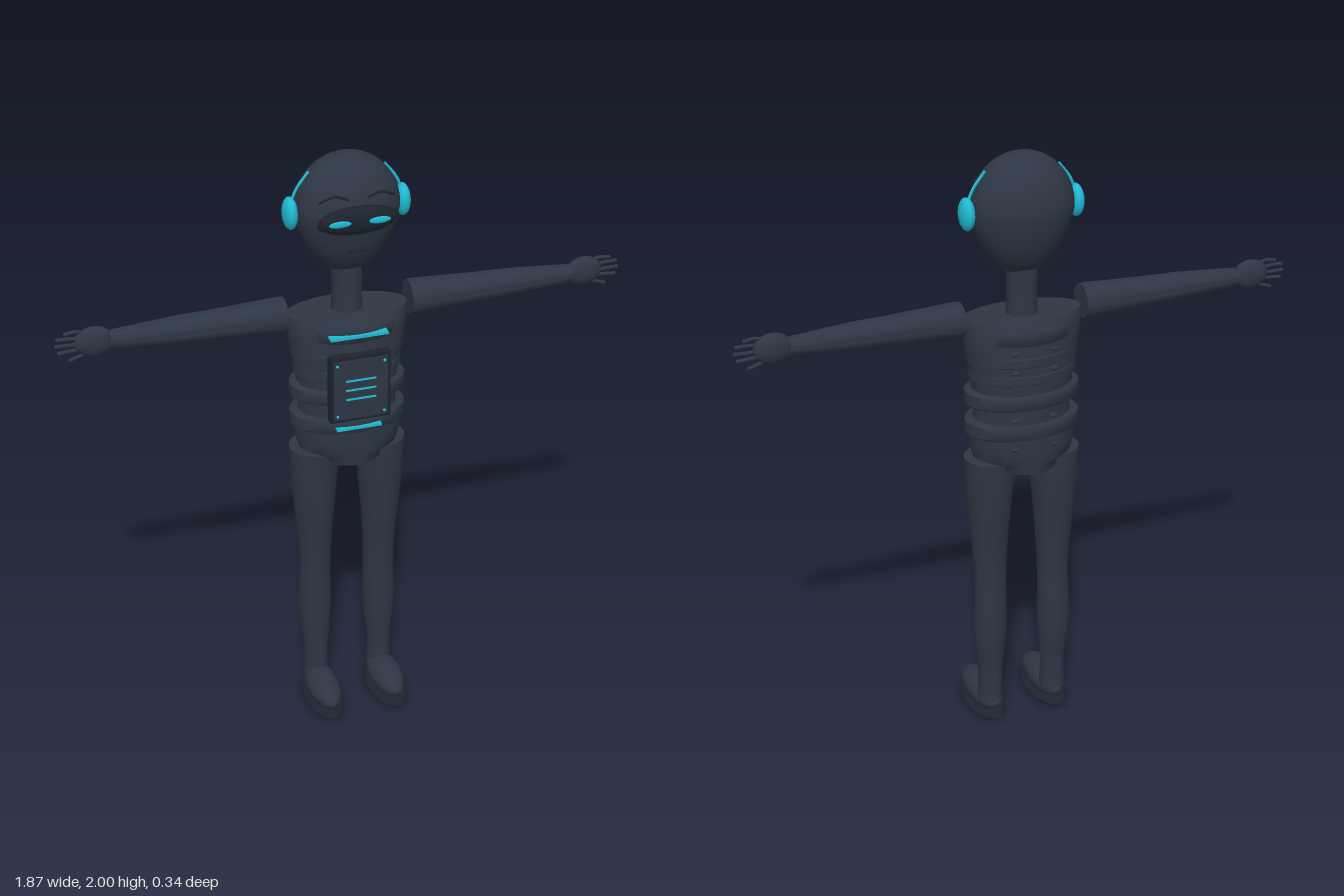
import * as THREE from 'three';
import { toCreasedNormals } from 'three/addons/utils/BufferGeometryUtils.js';

const CZ = -0.045; // depth of the body axis

export function createModel() {
  const model = new THREE.Group();
  model.name = 'robot';
  const material = (name, color) => {
    const m = new THREE.MeshStandardMaterial({ color });
    m.name = name;
    return m;
  };
  const slate = material('slate', 0x2d3643);
  const dark = material('darkSlate', 0x1d232d);
  const cyan = material('cyanGlow', 0x1fb9d3);

  const add = (name, geo, mat, x = 0, y = 0, z = 0, parent = model) => {
    const mesh = new THREE.Mesh(geo, mat);
    mesh.name = name;
    mesh.position.set(x, y, z);
    parent.add(mesh);
    return mesh;
  };
  // Elliptical rings [y, rx, rz, cx, cz], listed from top to bottom
  const loft = (rings) => {
    const n = rings.length - 1;
    const geo = new THREE.CylinderGeometry(1, 1, 1, 36, n);
    const p = geo.attributes.position;
    for (let i = 0; i < p.count; i++) {
      const [y, rx, rz, cx = 0, cz = 0] = rings[Math.round((0.5 - p.getY(i)) * n)];
      p.setXYZ(i, p.getX(i) * rx + cx, y, p.getZ(i) * rz + cz);
    }
    return toCreasedNormals(geo, 0.8);
  };
  const ellipsoid = (rx, ry, rz) => new THREE.SphereGeometry(1, 32, 20).scale(rx, ry, rz);
  const tube = (points, r) => new THREE.TubeGeometry(
    new THREE.CatmullRomCurve3(points.map((q) => new THREE.Vector3(...q))), 14, r, 8);
  const band = (name, y, h, rx, rz, z = CZ) => add(name, loft([
    [h / 2, rx * 0.96, rz * 0.96], [h * 0.38, rx, rz], [-h * 0.38, rx, rz], [-h / 2, rx * 0.96, rz * 0.96],
  ]), slate, 0, y, z);

  // Egg-shaped head, narrowing to the chin
  const skull = new THREE.SphereGeometry(1, 48, 32);
  const sp = skull.attributes.position;
  for (let i = 0; i < sp.count; i++) {
    const y = sp.getY(i), k = y < 0 ? 1 + 0.18 * y : 1;
    sp.setXYZ(i, sp.getX(i) * 0.17 * k, y * (y < 0 ? 0.215 : 0.18), sp.getZ(i) * 0.125 * k);
  }
  add('head', toCreasedNormals(skull, 1), slate, 0, 1.82, CZ);
  add('neck', loft([[1.64, 0.05, 0.048], [1.54, 0.048, 0.047], [1.46, 0.052, 0.05]]), slate, 0, 0, CZ);

  // Face: visor with rim, eyes, brows and mouth
  add('visor', ellipsoid(0.125, 0.045, 0.022), dark, 0, 1.822, 0.072);
  const rim = add('visorRim', new THREE.TorusGeometry(1, 0.04, 8, 48).scale(0.127, 0.047, 0.13), dark, 0, 1.822, 0.075);
  rim.renderOrder = 0;
  add('mouth', new THREE.BoxGeometry(0.06, 0.006, 0.006), dark, 0, 1.715, 0.066);
  for (const s of [1, -1]) {
    add('eye', ellipsoid(0.036, 0.011, 0.005), cyan, s * 0.063, 1.823, 0.092);
    add('brow', tube([[s * 0.03, 1.892, 0.07], [s * 0.075, 1.905, 0.068], [s * 0.12, 1.885, 0.055]], 0.004), dark);
    add('earCap', ellipsoid(0.024, 0.053, 0.042), cyan, s * 0.182, 1.82, CZ);
    add('antenna', tube([[s * 0.183, 1.84, CZ], [s * 0.162, 1.895, CZ], [s * 0.12, 1.95, CZ]], 0.005), cyan);
  }

  // Torso and pelvis
  add('torso', loft([
    [1.475, 0.198, 0.095], [1.45, 0.2, 0.11], [1.4, 0.195, 0.118], [1.3, 0.178, 0.12],
    [1.24, 0.168, 0.12], [1.15, 0.16, 0.115], [1.08, 0.172, 0.118],
  ]), slate, 0, 0, CZ);
  add('pelvis', loft([
    [1.1, 0.18, 0.125], [1.04, 0.178, 0.125], [0.995, 0.165, 0.122], [0.98, 0.125, 0.12], [0.955, 0.115, 0.117],
  ]), slate, 0, 0, CZ);
  band('chestBand', 1.43, 0.055, 0.175, 0.127);
  band('upperRib', 1.345, 0.035, 0.185, 0.123);
  band('lowerRib', 1.285, 0.035, 0.178, 0.123);
  band('waistBand', 1.208, 0.052, 0.192, 0.126);
  band('hipBand', 1.105, 0.052, 0.192, 0.128);

  // Chest panel with glowing strips and corner bolts
  add('panelFrame', new THREE.BoxGeometry(0.2, 0.23, 0.03), dark, 0, 1.255, 0.085);
  add('panelPlate', new THREE.BoxGeometry(0.178, 0.208, 0.008), slate, 0, 1.255, 0.101);
  for (const y of [1.288, 1.255, 1.222]) {
    add('panelLight', new THREE.BoxGeometry(0.1, 0.006, 0.004), cyan, 0, y, 0.106);
  }
  add('chestLight', new THREE.BoxGeometry(0.19, 0.009, 0.03), cyan, 0, 1.432, 0.077);
  add('beltLight', new THREE.BoxGeometry(0.15, 0.008, 0.03), cyan, 0, 1.105, 0.077);
  for (const s of [1, -1]) {
    for (const y of [1.345, 1.165]) {
      add('panelBolt', ellipsoid(0.005, 0.005, 0.004), cyan, s * 0.078, y, 0.106);
    }
    for (const y of [1.38, 1.315, 1.15, 1.05]) {
      add('backStud', ellipsoid(0.014, 0.009, 0.009), slate, s * 0.065, y, -0.156);
    }
  }

  for (const s of [1, -1]) {
    const side = s > 0 ? 'left' : 'right';
    // Outstretched arm, hand and fanned fingers
    const arm = add(side + 'Arm', loft([
      [0.765, 0.03, 0.028], [0.66, 0.038, 0.036], [0.54, 0.046, 0.044], [0.44, 0.048, 0.047],
      [0.32, 0.053, 0.052], [0.22, 0.058, 0.057], [0.205, 0.056, 0.056],
    ]), slate, 0, 1.478, CZ);
    arm.rotation.z = -s * Math.PI / 2;
    add(side + 'Palm', ellipsoid(0.062, 0.05, 0.026), slate, s * 0.812, 1.48, CZ);
    const fingers = [[0.03, 0.9, 0.038], [0.014, 0.925, 0.022], [-0.004, 0.93, 0], [-0.02, 0.922, -0.024], [-0.036, 0.888, -0.052]];
    for (const [y0, x1, y1] of fingers) {
      add(side + 'Finger', tube([
        [s * 0.835, 1.48 + y0, CZ], [s * (x1 - 0.035), 1.482 + y0 * 1.25, CZ], [s * x1, 1.478 + y1, CZ],
      ], 0.0065), slate);
      add(side + 'Fingertip', ellipsoid(0.0065, 0.0065, 0.0065), slate, s * x1, 1.478 + y1, CZ);
    }

    // Leg with knee and calf, then ankle, shoe and sole
    add(side + 'Leg', loft([
      [0.99, 0.085, 0.087, s * 0.11, CZ], [0.85, 0.075, 0.08, s * 0.114, CZ], [0.7, 0.062, 0.064, s * 0.114, CZ],
      [0.58, 0.053, 0.053, s * 0.112, CZ], [0.48, 0.053, 0.05, s * 0.113, -0.05], [0.36, 0.057, 0.055, s * 0.115, -0.051],
      [0.28, 0.05, 0.051, s * 0.114, -0.048], [0.2, 0.042, 0.045, s * 0.113, CZ],
    ]), slate);
    add(side + 'Ankle', loft([[0.21, 0.041, 0.045], [0.14, 0.04, 0.045], [0.07, 0.044, 0.047]]), slate, s * 0.114, 0, CZ);
    add(side + 'Shoe', ellipsoid(0.055, 0.048, 0.13), slate, s * 0.114, 0.068, 0.033);
    add(side + 'Sole', ellipsoid(0.065, 0.017, 0.137), dark, s * 0.114, 0.019, 0.033);
  }
  return model;
}
